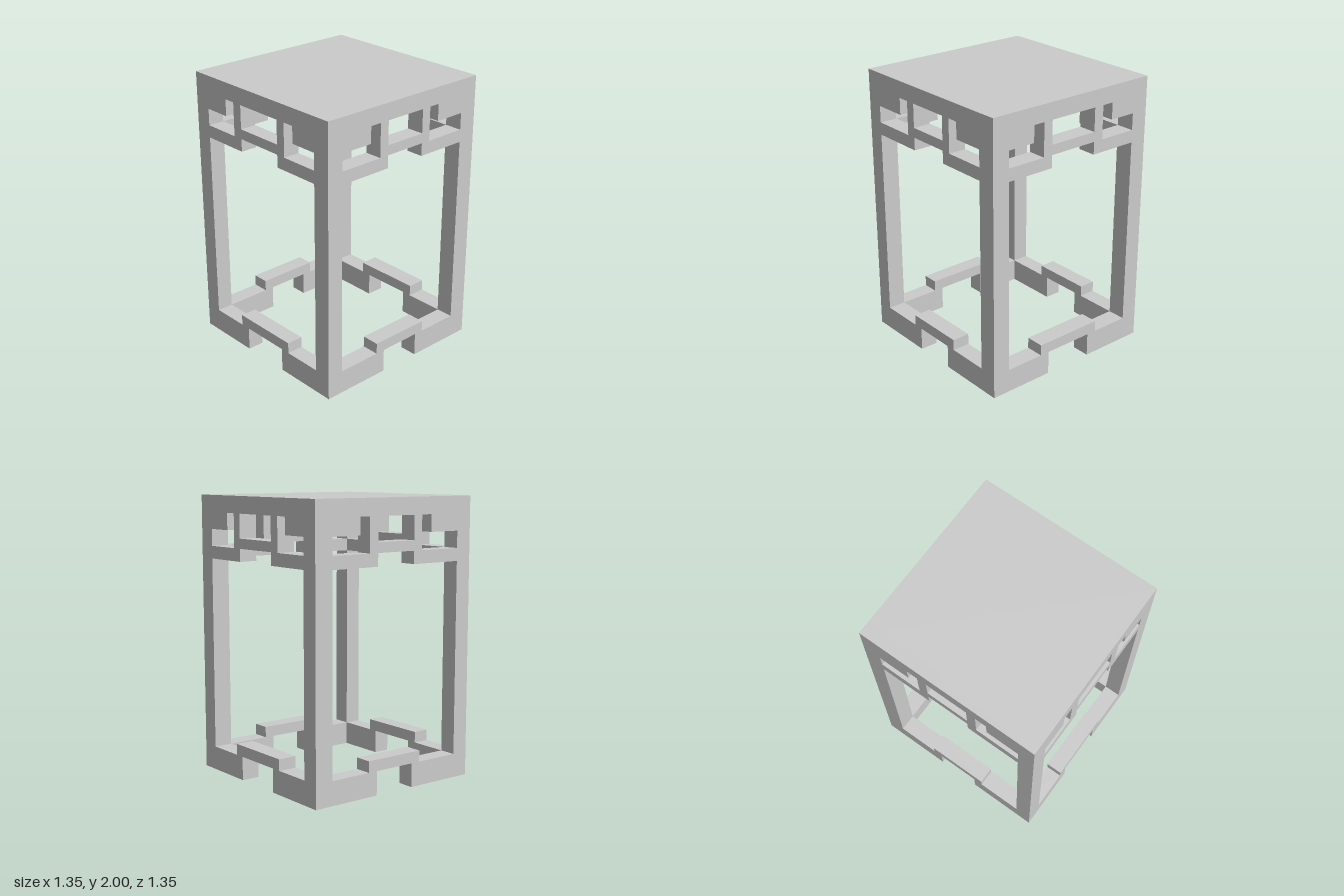
import * as THREE from 'three';

const H = 2, W = 0.675;       // height, half width
const SLAB = 1.88;            // underside of the top
const material = new THREE.MeshStandardMaterial({ color: 0xcccccc, flatShading: true });

const points = (list) => list.map(([x, y]) => new THREE.Vector2(x, y));

// Fretwork panel outline. Each argument is a [left, right] pair of edges:
// opening between legs, L-shaped window step, strut outside, strut inside.
function panelShape([oL, oR], [lL, lR], [sL, sR], [mL, mR]) {
  const shape = new THREE.Shape(points([
    [-W, 0], [mL, 0], [mL, 0.17], [mR, 0.17], [mR, 0], [W, 0], [W, H], [-W, H],
  ]));
  const holes = [
    // main opening with a raised sill and a notched head
    [[oL, 0.17], [sL, 0.17], [sL, 0.25], [sR, 0.25], [sR, 0.17], [oR, 0.17],
      [oR, 1.55], [mR, 1.55], [mR, 1.64], [mL, 1.64], [mL, 1.55], [oL, 1.55]],
    // centre window
    [[mL, 1.71], [mR, 1.71], [mR, SLAB], [mL, SLAB]],
    // L-shaped side windows
    [[oL, 1.64], [sL, 1.64], [sL, SLAB], [lL, SLAB], [lL, 1.76], [oL, 1.76]],
    [[sR, 1.64], [oR, 1.64], [oR, 1.76], [lR, 1.76], [lR, SLAB], [sR, SLAB]],
  ];
  holes.forEach((h) => shape.holes.push(new THREE.Path(points(h))));
  return shape;
}

// Panel between two depths, with its ends mitred to meet the neighbouring panels
function panelGeometry(edges, near, far) {
  const geo = new THREE.ExtrudeGeometry(panelShape(...edges), { depth: far - near, bevelEnabled: false });
  geo.translate(0, 0, near);
  const pos = geo.attributes.position;
  for (let i = 0; i < pos.count; i++) {
    const x = pos.getX(i);
    if (Math.abs(pos.getZ(i)) < W - 0.01 && Math.abs(x) > W - 0.01) {
      pos.setX(i, x < 0 ? edges[0][0] : edges[0][1]);
    }
  }
  geo.computeVertexNormals();
  return geo;
}

export function createModel() {
  const group = new THREE.Group();
  const add = (name, geo, turn = 0) => {
    const mesh = new THREE.Mesh(geo, material);
    mesh.name = name;
    mesh.rotation.y = turn;
    group.add(mesh);
    return mesh;
  };

  const frontEdges = [[-0.555, 0.54], [-0.31, 0.31], [-0.225, 0.23], [-0.155, 0.16]];
  const sideEdges = [[-0.545, 0.55], [-0.34, 0.35], [-0.255, 0.265], [-0.185, 0.19]];
  const [xMin, xMax] = frontEdges[0];
  const zMax = -sideEdges[0][0], zMin = -sideEdges[0][1];

  // Four legs-and-rails panels
  add('frontPanel', panelGeometry(frontEdges, zMax, W));
  add('backPanel', panelGeometry(frontEdges, -W, zMin));
  add('leftPanel', panelGeometry(sideEdges, xMax, W), Math.PI / 2);
  add('rightPanel', panelGeometry(sideEdges, -W, xMin), Math.PI / 2);

  // Seat board set between the panels
  add('topBoard', new THREE.BoxGeometry(xMax - xMin, H - SLAB, zMax - zMin))
    .position.set((xMin + xMax) / 2, (SLAB + H) / 2, (zMin + zMax) / 2);

  return group;
}
